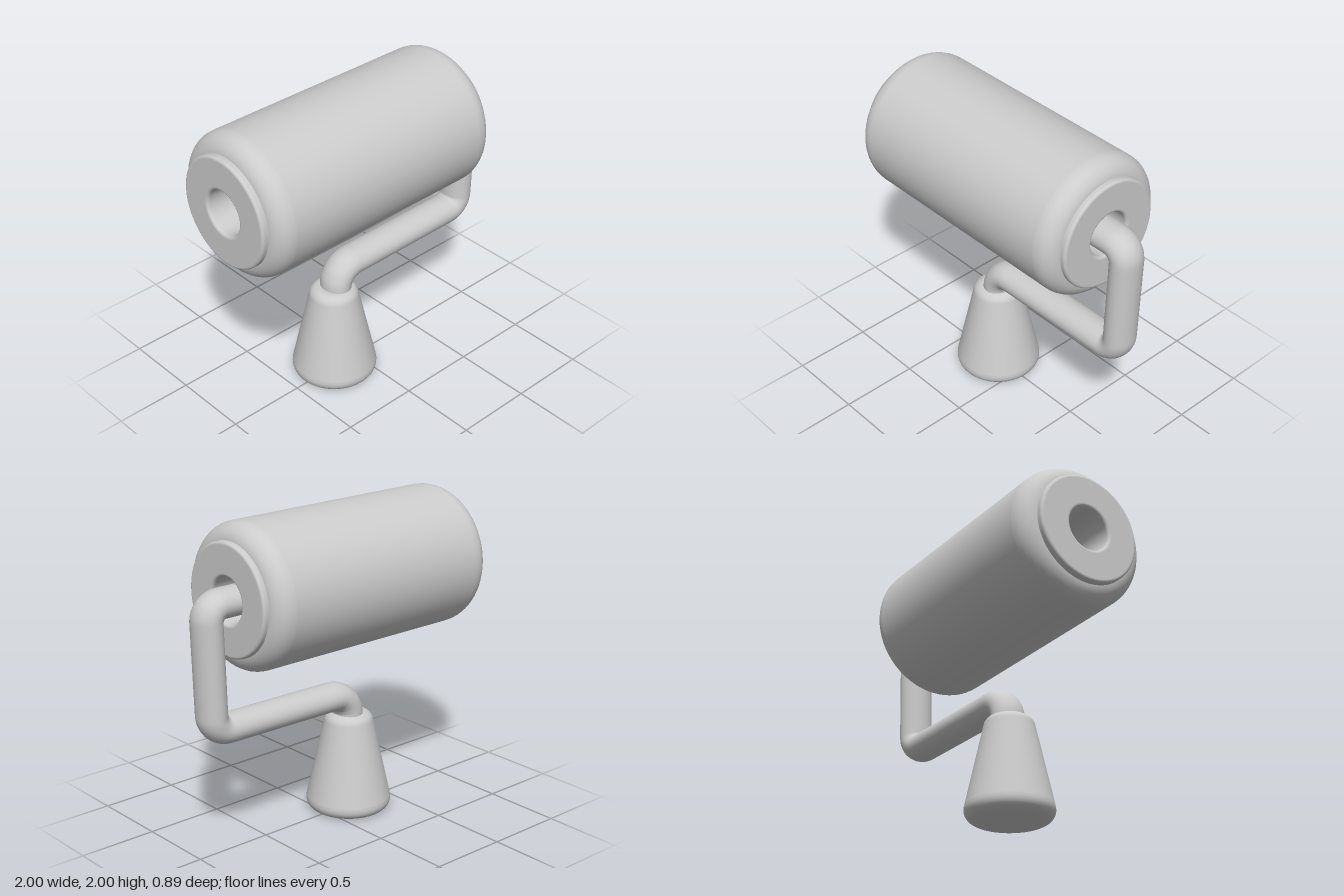
import * as THREE from 'three';

const material = new THREE.MeshStandardMaterial({ color: 0xcccccc, side: THREE.DoubleSide });
const AXIS_Y = 1.555;

// Path through [x, y, fillet] points, with each inner corner rounded.
function filletPath(points, steps = 8) {
  const v = points.map(([x, y]) => new THREE.Vector2(x, y));
  const out = [v[0]];
  for (let i = 1; i < v.length - 1; i++) {
    const r = points[i][2] || 0;
    if (!r) { out.push(v[i]); continue; }
    const a = v[i - 1].clone().sub(v[i]).setLength(r).add(v[i]);
    const b = v[i + 1].clone().sub(v[i]).setLength(r).add(v[i]);
    const mid = (p) => p.clone().lerp(v[i], 0.5523);
    out.push(...new THREE.CubicBezierCurve(a, mid(a), mid(b), b).getPoints(steps));
  }
  out.push(v[v.length - 1]);
  return out;
}

// Adds close neighbours beside each long edge end so flat faces keep flat shading.
function holdEdges(points, gap = 0.004) {
  const out = [points[0]];
  for (let i = 1; i < points.length; i++) {
    const a = points[i - 1], b = points[i], d = a.distanceTo(b);
    if (d > gap * 8) out.push(a.clone().lerp(b, gap / d), b.clone().lerp(a, gap / d));
    out.push(b);
  }
  return out;
}

function turned(name, profile) {
  const mesh = new THREE.Mesh(new THREE.LatheGeometry(holdEdges(filletPath(profile)), 72), material);
  mesh.name = name;
  return mesh;
}

export function createModel() {
  const model = new THREE.Group();
  model.name = 'paintRoller';

  // Roller: soft sleeve around a hollow core
  const roller = new THREE.Group();
  roller.name = 'roller';
  roller.rotation.z = -Math.PI / 2;
  roller.position.y = AXIS_Y;
  roller.add(
    turned('sleeve', [[0.3, -0.96], [0.445, -0.96, 0.12], [0.445, 0.73, 0.12], [0.3, 0.73]]),
    turned('core', [
      [0.14, 0], [0.14, -1, 0.02], [0.345, -1, 0.018],
      [0.345, 0.765, 0.018], [0.14, 0.765, 0.02], [0.14, 0],
    ]),
  );
  model.add(roller);

  // Bent arm from the core down to the handle, slightly wider in z
  const bends = filletPath([
    [0.3, 1.55], [0.91, 1.55, 0.1], [0.885, 0.785, 0.1], [-0.165, 0.775, 0.13], [-0.165, 0.45],
  ], 12);
  const path = new THREE.CurvePath();
  for (let i = 1; i < bends.length; i++) {
    const [a, b] = [bends[i - 1], bends[i]];
    path.add(new THREE.LineCurve3(new THREE.Vector3(a.x, a.y, 0), new THREE.Vector3(b.x, b.y, 0)));
  }
  const arm = new THREE.Mesh(new THREE.TubeGeometry(path, 200, 0.09, 32), material);
  arm.name = 'arm';
  arm.scale.z = 1.2;
  model.add(arm);

  // Closed inner end of the arm
  const cap = new THREE.Mesh(new THREE.CircleGeometry(0.09, 32), material);
  cap.name = 'armEnd';
  cap.rotation.y = -Math.PI / 2;
  cap.scale.x = 1.2;
  cap.position.set(0.3, 1.55, 0);
  model.add(cap);

  // Tapered handle
  const handle = turned('handle', [
    [0, 0], [0.285, 0, 0.085], [0.143, 0.648, 0.05], [0, 0.648],
  ]);
  handle.position.x = -0.18;
  model.add(handle);

  return model;
}
